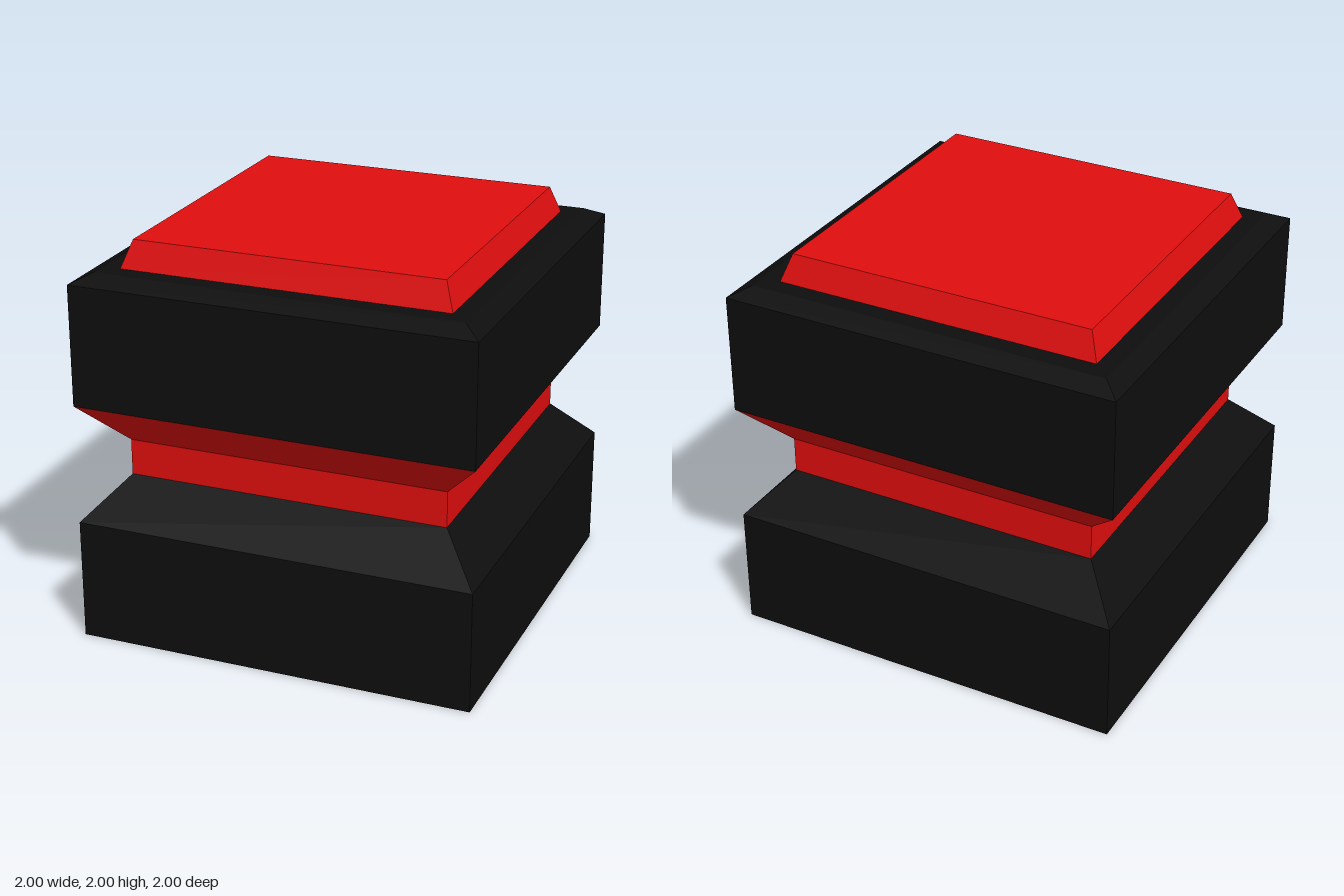
import * as THREE from 'three';

const black = new THREE.MeshStandardMaterial({ color: 0x0e0e0e, side: THREE.DoubleSide });
black.name = 'black';
const red = new THREE.MeshStandardMaterial({ color: 0xe00e0e, side: THREE.DoubleSide });
red.name = 'red';

// Four-sided open band between two square rings, with flat faces
function squareBand(name, material, [h0, y0], [h1, y1]) {
  const r = Math.SQRT2;
  const ring = new THREE.CylinderGeometry(h1 * r, h0 * r, 1, 4, 1, true, Math.PI / 4);
  // Place the lower and upper rings at their heights
  const p = ring.attributes.position;
  for (let i = 0; i < p.count; i++) p.setY(i, p.getY(i) > 0 ? y1 : y0);
  const geometry = ring.toNonIndexed();
  geometry.computeVertexNormals();
  const mesh = new THREE.Mesh(geometry, material);
  mesh.name = name;
  return mesh;
}

export function createModel() {
  const model = new THREE.Group();
  model.name = 'pedestal';

  // Hollow shell, open underneath: [half width, height] from bottom to top
  const rings = [
    [1, 0], [1, 0.61], [0.805, 0.82], [0.805, 1], [1, 1.215],
    [1, 1.82], [0.91, 1.865], [0.818, 1.865], [0.77, 2],
  ];
  const bands = [
    ['baseWall', black], ['baseSlope', black], ['neck', red], ['neckFlare', red],
    ['upperWall', black], ['upperBevel', black], ['upperLedge', black], ['capSide', red],
  ];
  bands.forEach(([name, material], i) =>
    model.add(squareBand(name, material, rings[i], rings[i + 1])));

  // Flat top of the cap
  const top = new THREE.Mesh(new THREE.PlaneGeometry(1.54, 1.54), red);
  top.name = 'capTop';
  top.rotation.x = -Math.PI / 2;
  top.position.y = 2;
  model.add(top);

  return model;
}
